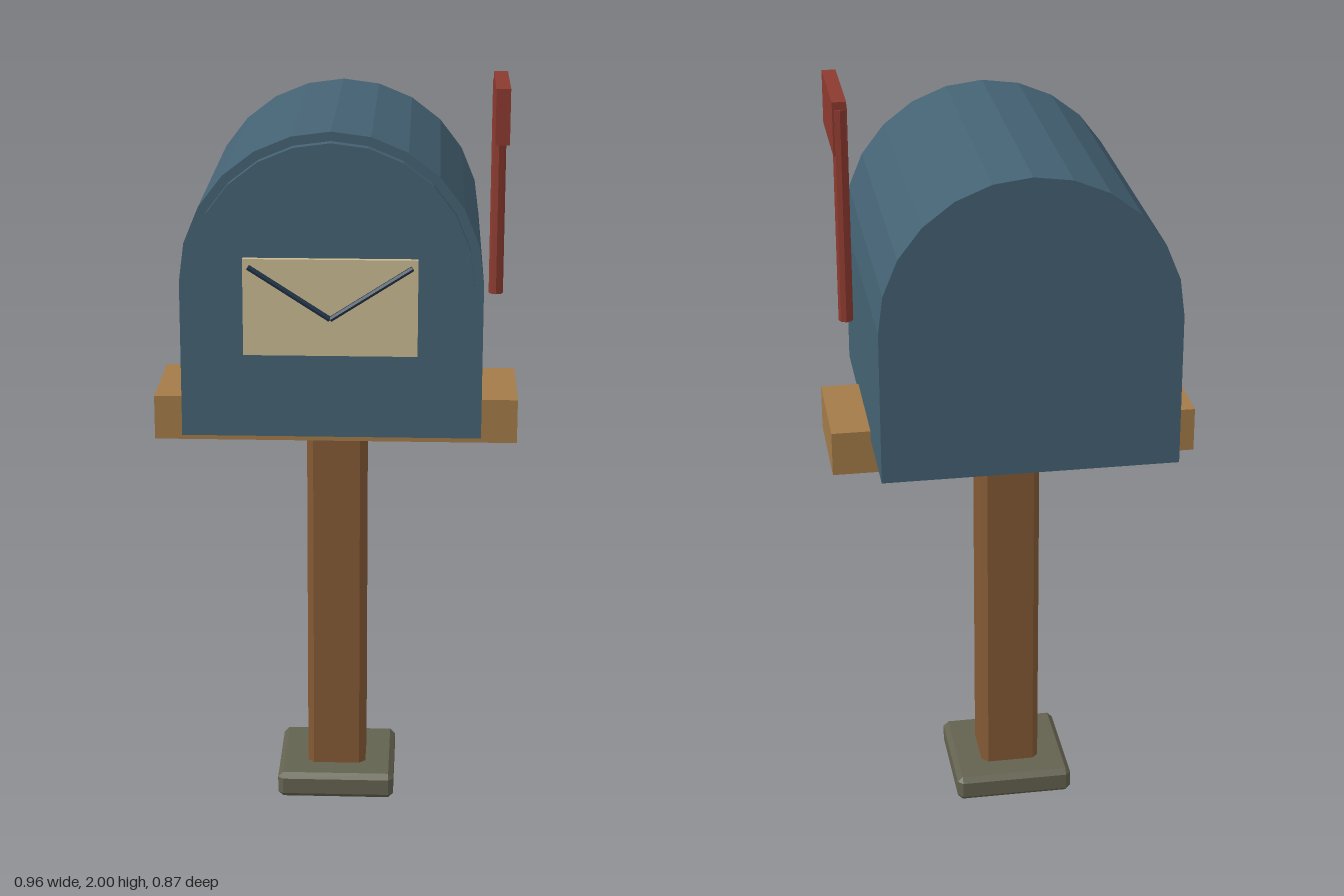
import * as THREE from 'three';
import { ConvexGeometry } from 'three/addons/geometries/ConvexGeometry.js';

const paint = (name, color) => {
  const m = new THREE.MeshStandardMaterial({ color });
  m.name = name;
  return m;
};

// Box with all edges and corners cut at 45 degrees
function chamferBox(w, h, d, c) {
  const pts = [];
  for (const sx of [-1, 1]) for (const sy of [-1, 1]) for (const sz of [-1, 1]) {
    const x = w / 2, y = h / 2, z = d / 2;
    pts.push(
      new THREE.Vector3(sx * x, sy * (y - c), sz * (z - c)),
      new THREE.Vector3(sx * (x - c), sy * y, sz * (z - c)),
      new THREE.Vector3(sx * (x - c), sy * (y - c), sz * z)
    );
  }
  return new ConvexGeometry(pts);
}

// Faceted arch: straight sides from the bottom, half circle above the spring line
function archPrism(radius, bottom, spring, depth) {
  const steps = 12;
  const pts = [new THREE.Vector2(-radius, bottom), new THREE.Vector2(radius, bottom)];
  for (let i = 0; i <= steps; i++) {
    const a = (i / steps) * Math.PI;
    pts.push(new THREE.Vector2(radius * Math.cos(a), spring + radius * Math.sin(a)));
  }
  return new THREE.ExtrudeGeometry(new THREE.Shape(pts), { depth, bevelEnabled: false });
}

export function createModel() {
  const blue = paint('box blue', 0x446273);
  const red = paint('flag red', 0x8c3a2f);
  const lightWood = paint('light wood', 0xa37b49);
  const darkWood = paint('dark wood', 0x845a35);
  const stone = paint('stone', 0x636250);
  const cream = paint('envelope cream', 0xcbbb92);
  const navy = paint('fold navy', 0x22364a);
  for (const m of [blue, red, darkWood, stone, navy]) m.flatShading = true;

  const model = new THREE.Group();
  model.name = 'mailbox';
  const add = (name, geometry, material, x, y, z) => {
    const mesh = new THREE.Mesh(geometry, material);
    mesh.name = name;
    mesh.position.set(x, y, z);
    model.add(mesh);
    return mesh;
  };

  // Support
  add('foot', chamferBox(0.32, 0.072, 0.32, 0.014), stone, 0, 0.036, -0.033);
  add('post', chamferBox(0.16, 1.03, 0.16, 0.017), darkWood, 0, 0.56, -0.033);
  add('crossPlank', new THREE.BoxGeometry(0.958, 0.118, 0.302), lightWood, 0, 1.104, -0.033);

  // Box and door
  add('body', archPrism(0.378, 1.138, 1.537, 0.807), blue, 0, 0, -0.437);
  add('door', archPrism(0.355, 1.158, 1.537, 0.032), blue, 0, 0, 0.368);

  // Envelope with its folded flap line
  add('envelope', new THREE.BoxGeometry(0.432, 0.244, 0.015), cream, 0, 1.487, 0.415);
  for (const side of [-1, 1]) {
    const from = new THREE.Vector3(0, 1.46, 0.428);
    const to = new THREE.Vector3(side * 0.202, 1.59, 0.428);
    const dir = to.clone().sub(from);
    const fold = add('envelopeFold', new THREE.CylinderGeometry(0.007, 0.007, dir.length(), 6), navy, 0, 0, 0);
    fold.position.copy(from).lerp(to, 0.5);
    fold.quaternion.setFromUnitVectors(new THREE.Vector3(0, 1, 0), dir.normalize());
  }

  // Signal flag on the left side
  const pole = new THREE.CylinderGeometry(0.019, 0.019, 0.565, 8);
  add('flagPole', pole, red, 0.419, 1.6975, -0.033);
  add('flag', new THREE.BoxGeometry(0.036, 0.14, 0.284), red, 0.42, 1.93, 0.097);

  return model;
}
